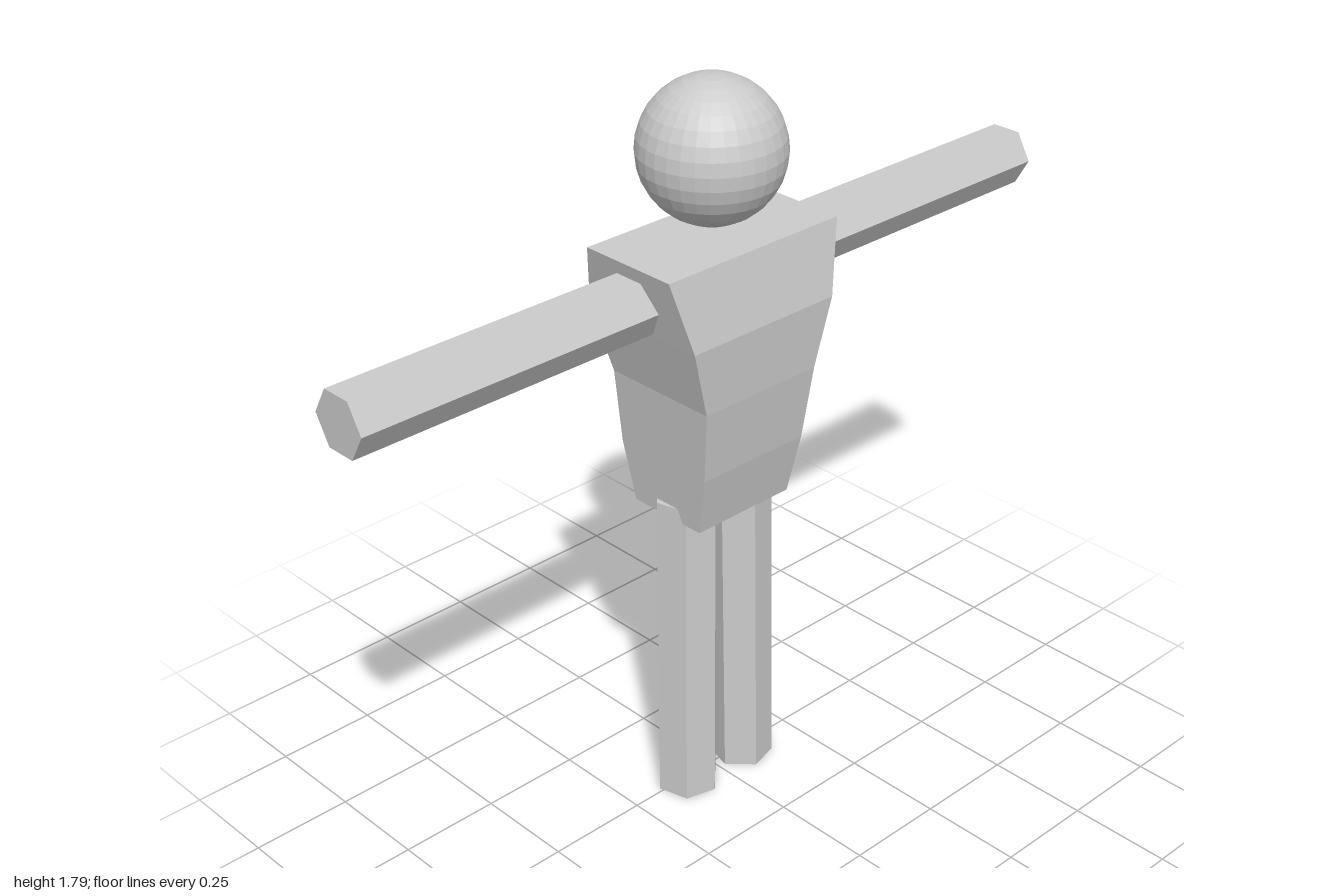
import * as THREE from 'three';

const material = new THREE.MeshStandardMaterial({
  color: 0xcccccc,
  flatShading: true,
});

// Closed body from stacked rectangles: [y, half width, back z, front z]
function loftRectangles(levels) {
  const points = [];
  const index = [];
  for (const [y, w, back, front] of levels) {
    points.push(-w, y, front, w, y, front, w, y, back, -w, y, back);
  }
  for (let i = 0; i < levels.length - 1; i++) {
    for (let j = 0; j < 4; j++) {
      const a = i * 4 + j;
      const b = i * 4 + ((j + 1) % 4);
      index.push(a, b, b + 4, a, b + 4, a + 4);
    }
  }
  const top = (levels.length - 1) * 4;
  index.push(0, 2, 1, 0, 3, 2);
  index.push(top, top + 1, top + 2, top, top + 2, top + 3);
  const geometry = new THREE.BufferGeometry();
  geometry.setAttribute('position', new THREE.Float32BufferAttribute(points, 3));
  geometry.setIndex(index);
  geometry.computeVertexNormals();
  return geometry;
}

// Six-sided arm lying along x
function armGeometry(side) {
  const inner = 0.18;
  const geometry = new THREE.CylinderGeometry(0.075, 0.075, 1 - inner, 6);
  geometry.rotateZ(Math.PI / 2);
  geometry.translate((side * (1 + inner)) / 2, 1.335, 0);
  return geometry;
}

// Six-sided leg, twisted an eighth turn and leaning slightly inward at the hip
function legGeometry(side) {
  const height = 0.805;
  const geometry = new THREE.CylinderGeometry(
    0.077, 0.077, height, 6, 1, false, (side * Math.PI) / 4);
  geometry.translate(0, height / 2, 0);
  const p = geometry.attributes.position;
  for (let i = 0; i < p.count; i++) {
    const t = p.getY(i) / height;
    p.setX(i, p.getX(i) + side * (0.091 - 0.008 * t));
    p.setZ(i, p.getZ(i) + 0.01 - 0.006 * t);
  }
  geometry.computeVertexNormals();
  return geometry;
}

export function createModel() {
  const model = new THREE.Group();
  model.name = 'figure';

  const add = (name, geometry) => {
    const mesh = new THREE.Mesh(geometry, material);
    mesh.name = name;
    model.add(mesh);
    return mesh;
  };

  // Head floats just above the shoulders
  add('head', new THREE.SphereGeometry(0.167, 32, 16)).position.y = 1.625;

  // Torso widens to the shoulders and bulges at the chest
  add('torso', loftRectangles([
    [0.77, 0.14, -0.105, 0.105],
    [0.92, 0.153, -0.134, 0.136],
    [1.1, 0.167, -0.142, 0.158],
    [1.265, 0.21, -0.168, 0.167],
    [1.435, 0.253, -0.122, 0.135],
  ]));

  for (const [word, side] of [['left', 1], ['right', -1]]) {
    add(`${word}Arm`, armGeometry(side));
    add(`${word}Leg`, legGeometry(side));
  }

  return model;
}
